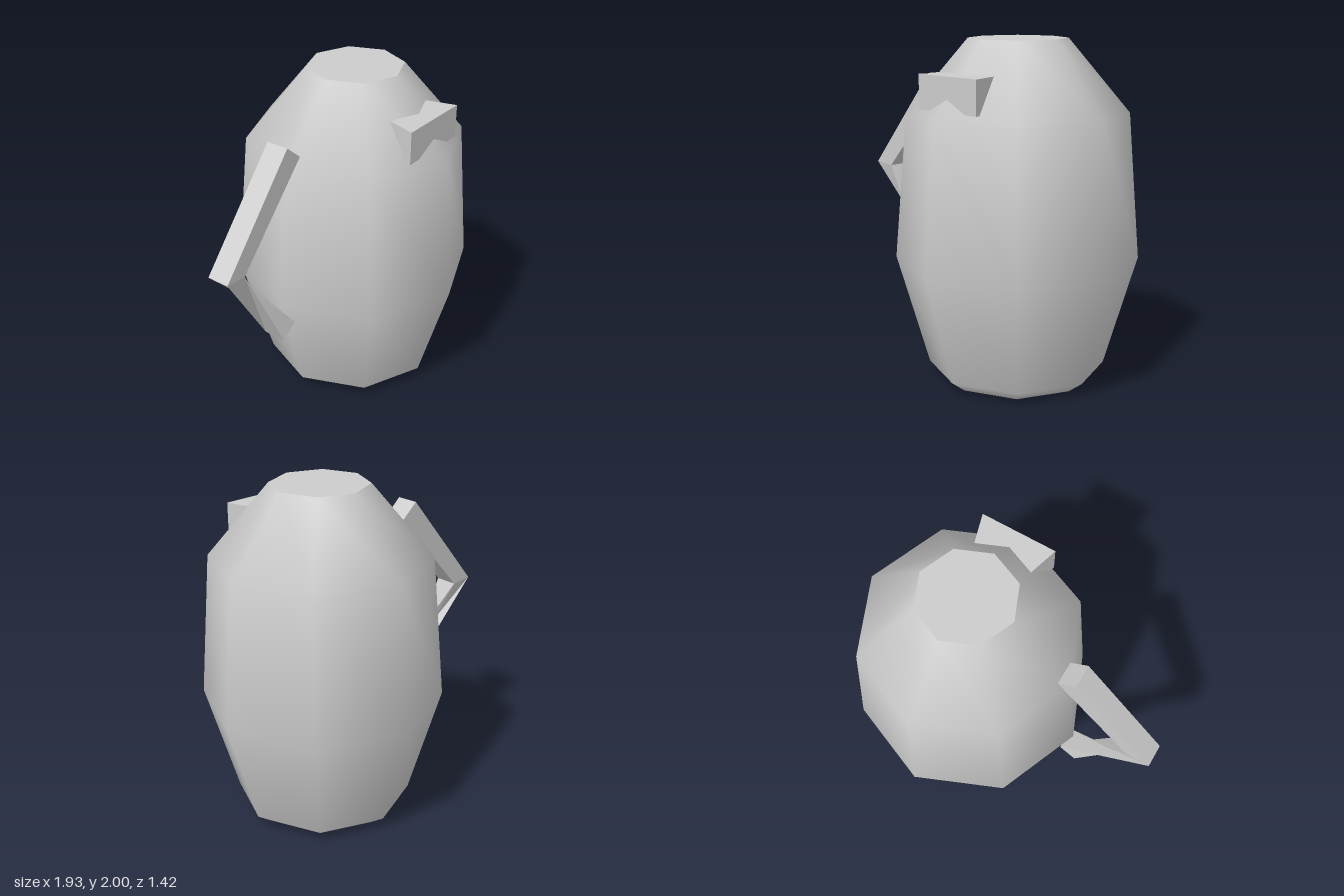
import * as THREE from 'three';

const grey = new THREE.MeshStandardMaterial({ color: 0xcccccc });
grey.name = 'plain grey';
const greyBar = new THREE.MeshStandardMaterial({ color: 0xcccccc, flatShading: true, side: THREE.DoubleSide });
greyBar.name = 'plain grey';

function add(parent, name, geometry, material) {
  const mesh = new THREE.Mesh(geometry, material);
  mesh.name = name;
  parent.add(mesh);
  return mesh;
}

// Square bar swept through rings; twist shifts the corner order between two rings
function barGeometry(rings, twists, zMin, zMax) {
  const pos = [], index = [];
  for (const [ox, oy, ix, iy] of rings) {
    pos.push(ox, oy, zMax, ix, iy, zMax, ix, iy, zMin, ox, oy, zMin);
  }
  twists.forEach((t, r) => {
    for (let k = 0; k < 4; k++) {
      const a = r * 4 + k, b = r * 4 + (k + 1) % 4;
      const c = r * 4 + 4 + (k + 1 + t) % 4, d = r * 4 + 4 + (k + t) % 4;
      index.push(a, d, b, b, d, c);
    }
  });
  const e = (rings.length - 1) * 4;
  index.push(0, 1, 2, 0, 2, 3, e, e + 2, e + 1, e, e + 3, e + 2);
  const g = new THREE.BufferGeometry();
  g.setAttribute('position', new THREE.Float32BufferAttribute(pos, 3));
  g.setIndex(index);
  const flat = g.toNonIndexed();
  flat.computeVertexNormals();
  return flat;
}

export function createModel() {
  const model = new THREE.Group();
  model.name = 'jug';

  // Eight-sided body with flat closed ends
  const vessel = new THREE.Group();
  vessel.name = 'vessel';
  vessel.position.x = 0.25;
  model.add(vessel);
  const profile = [[0.425, 0], [0.52, 0.07], [0.712, 0.72], [0.642, 1.575], [0.285, 2]]
    .map(([r, y]) => new THREE.Vector2(r, y));
  add(vessel, 'body', new THREE.LatheGeometry(profile, 8), grey);
  add(vessel, 'top', new THREE.CircleGeometry(0.285, 8).rotateX(-Math.PI / 2), grey).position.y = 2;
  add(vessel, 'base', new THREE.CircleGeometry(0.425, 8).rotateX(Math.PI / 2), grey);

  // Wedge-sided spout sunk into the shoulder
  const plan = new THREE.Shape([[-0.23, -0.545], [0.23, -0.545], [0.13, -0.2], [-0.13, -0.2]]
    .map(([x, y]) => new THREE.Vector2(x, y)));
  const spout = new THREE.ExtrudeGeometry(plan, { depth: 0.195, bevelEnabled: false });
  add(vessel, 'spout', spout.rotateX(-Math.PI / 2), grey).position.y = 1.62;

  // Angular handle: straight upper arm, lower arm with a quarter twist
  const rings = [
    [-0.45, 1.76, -0.345, 1.67],
    [-0.965, 1.15, -0.828, 1.14],
    [-0.52, 0.535, -0.415, 0.61],
  ];
  add(model, 'handle', barGeometry(rings, [0, 3], -0.07, 0.068), greyBar);
  return model;
}
